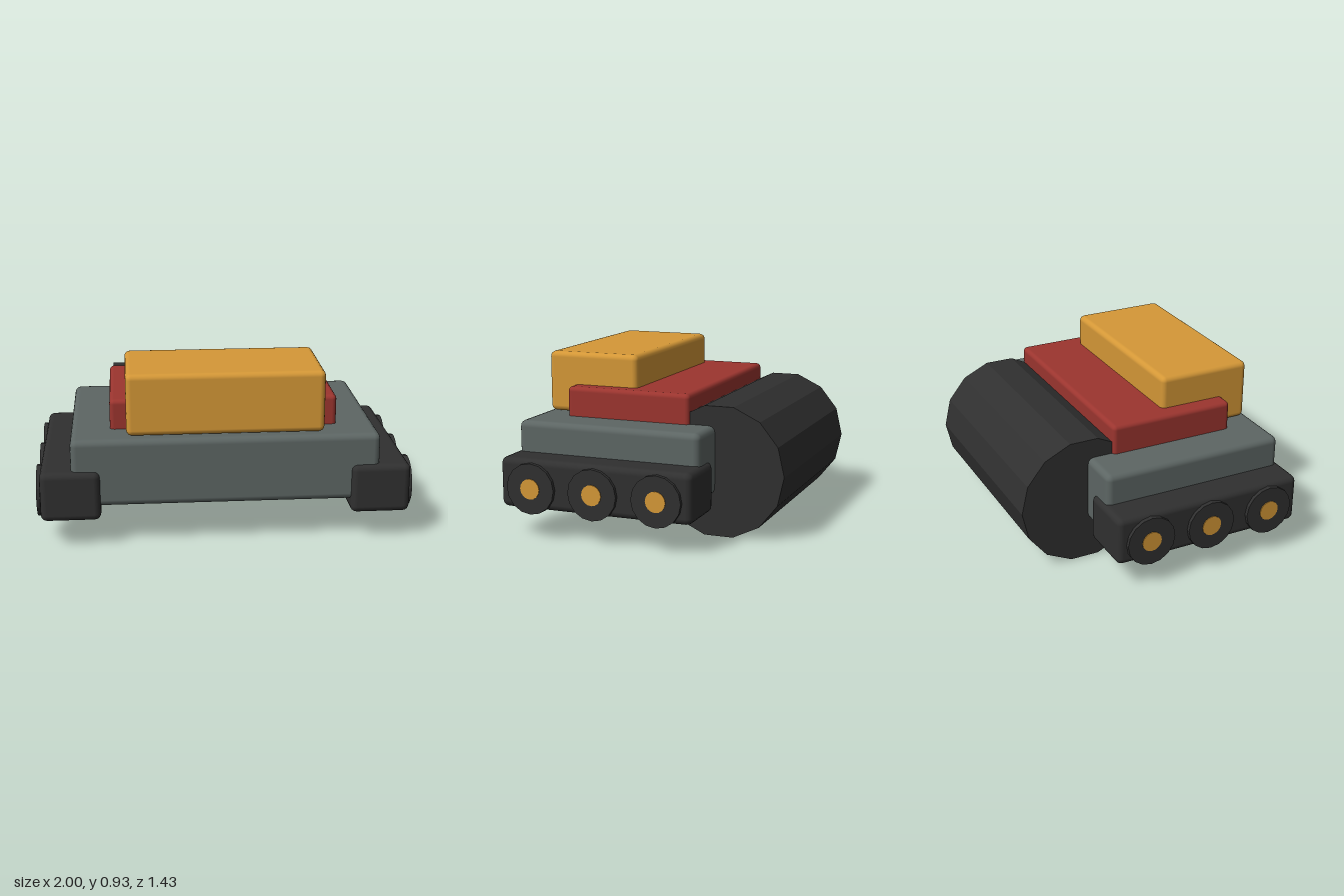
import * as THREE from 'three';
import { RoundedBoxGeometry } from 'three/addons/geometries/RoundedBoxGeometry.js';

function paint(name, color) {
  const m = new THREE.MeshStandardMaterial({ color });
  m.name = name;
  return m;
}

export function createModel() {
  const model = new THREE.Group();
  model.name = 'rollerVehicle';

  const grey = paint('slateGrey', 0x5d6664);
  const red = paint('brickRed', 0x9c352f);
  const amber = paint('amber', 0xd59837);
  const black = paint('rubberBlack', 0x303030);

  // Box with softened edges, given by its limits on each axis
  function block(name, [x0, x1], [y0, y1], [z0, z1], radius, material) {
    const geometry = new RoundedBoxGeometry(x1 - x0, y1 - y0, z1 - z0, 2, radius);
    const mesh = new THREE.Mesh(geometry, material);
    mesh.position.set((x0 + x1) / 2, (y0 + y1) / 2, (z0 + z1) / 2);
    mesh.name = name;
    model.add(mesh);
  }

  // Cylinder lying along x
  const flat = new Map();
  function drum(name, [x0, x1], y, z, radius, sides, material) {
    const geometry = new THREE.CylinderGeometry(radius, radius, x1 - x0, sides);
    geometry.rotateZ(Math.PI / 2);
    if (!flat.has(material)) {
      const m = material.clone();
      m.flatShading = true;
      flat.set(material, m);
    }
    const mesh = new THREE.Mesh(geometry, flat.get(material));
    mesh.position.set((x0 + x1) / 2, y, z);
    mesh.name = name;
    model.add(mesh);
  }

  // Body, deck and cab
  block('hull', [-0.813, 0.813], [0.227, 0.592], [-0.338, 0.693], 0.035, grey);
  block('deck', [-0.605, 0.605], [0.5, 0.752], [-0.2, 0.507], 0.025, red);
  block('cab', [-0.52, 0.52], [0.597, 0.928], [0.132, 0.657], 0.03, amber);

  // Rear roller
  drum('roller', [-0.586, 0.586], 0.35, -0.36, 0.357, 14, black);

  // Track units with three wheels and hubs on each side
  for (const side of [-1, 1]) {
    const span = (a, b) => (side > 0 ? [a, b] : [-b, -a]);
    const label = side > 0 ? 'left' : 'right';
    block(label + 'Track', span(0.66, 0.976), [0.157, 0.425], [-0.358, 0.718], 0.035, black);
    [0.533, 0.18, -0.174].forEach((z, i) => {
      drum(label + 'Wheel' + (i + 1), span(0.727, 0.996), 0.272, z, 0.136, 16, black);
      drum(label + 'Hub' + (i + 1), span(0.96, 1.0), 0.272, z, 0.055, 16, amber);
    });
  }
  return model;
}
